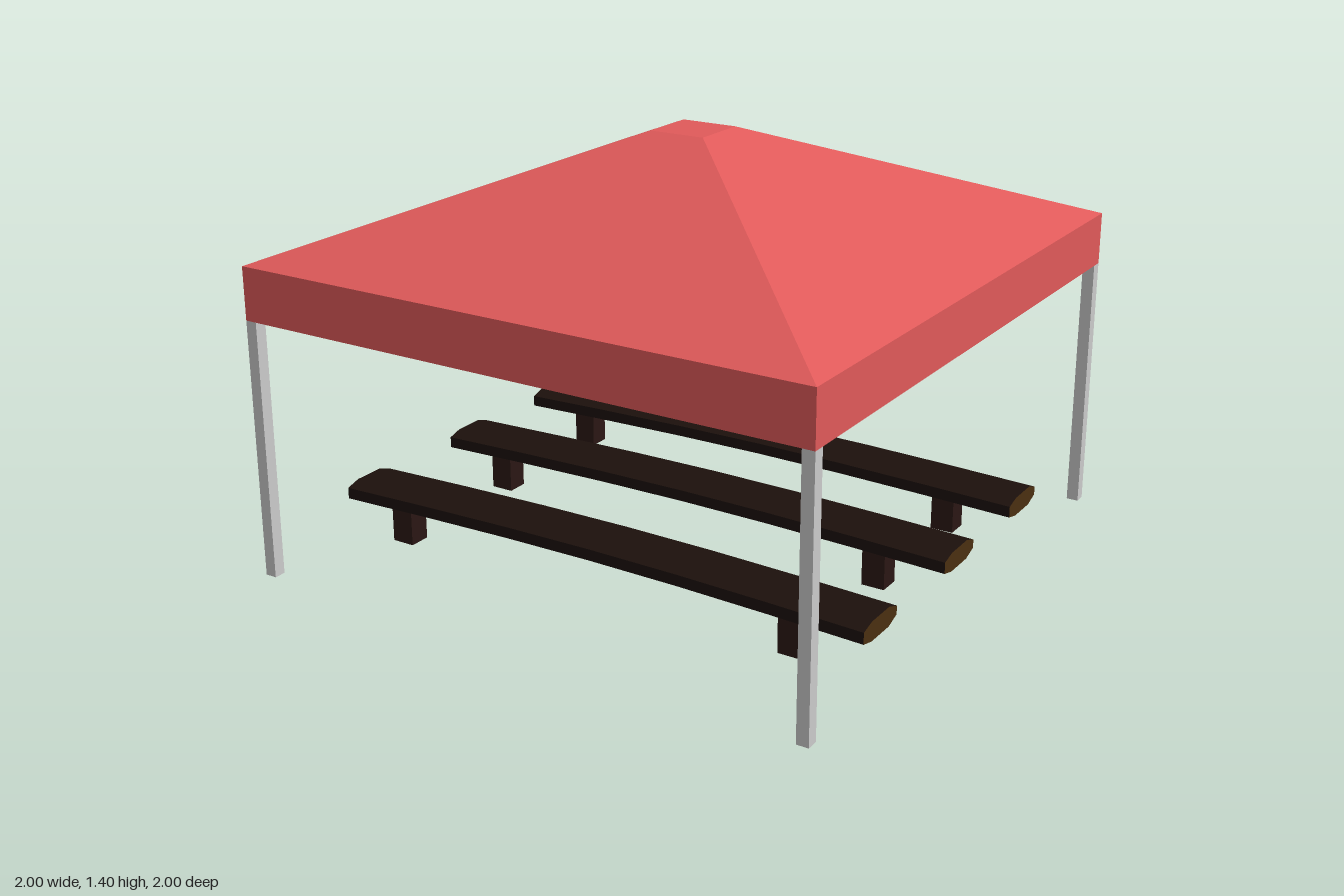
import * as THREE from 'three';

const paint = (color) => new THREE.MeshStandardMaterial({ color, flatShading: true });

export function createModel() {
  const model = new THREE.Group();
  model.name = 'pavilion';
  const red = paint(0xe05a5a), grey = paint(0xcccccc);
  const bark = paint(0x1c100c), cutWood = paint(0x4a2f10), legWood = paint(0x2a1714);

  const add = (parent, name, geometry, material, x, y, z) => {
    const mesh = new THREE.Mesh(geometry, material);
    mesh.name = name;
    mesh.position.set(x, y, z);
    parent.add(mesh);
    return mesh;
  };

  // Canopy: square valance with a truncated pyramid on top
  const canopy = new THREE.Group();
  canopy.name = 'canopy';
  model.add(canopy);
  add(canopy, 'valance', new THREE.BoxGeometry(2, 0.175, 2), red, 0, 0.9525, 0);
  const roof = new THREE.CylinderGeometry(0.097 * Math.SQRT2, Math.SQRT2, 0.36, 4);
  roof.rotateY(Math.PI / 4);
  add(canopy, 'roof', roof, red, 0, 1.22, 0);

  // Corner poles
  const pole = new THREE.BoxGeometry(0.04, 0.865, 0.04);
  for (const x of [-0.98, 0.98])
    for (const z of [-0.98, 0.98]) add(model, 'pole', pole, grey, x, 0.4325, z);

  // Bench seat: faceted log section, extruded lengthwise and bowed slightly
  const section = new THREE.Shape([
    [-0.105, -0.02], [-0.055, -0.032], [0.055, -0.032], [0.105, -0.014],
    [0.105, 0.014], [0.055, 0.032], [-0.055, 0.032], [-0.105, 0.018],
  ].map(([x, y]) => new THREE.Vector2(x, y)));
  const length = 1.94;
  const seat = new THREE.ExtrudeGeometry(section, { depth: length, steps: 6, bevelEnabled: false });
  seat.translate(0, 0, -length / 2);
  seat.rotateY(Math.PI / 2);
  const p = seat.attributes.position;
  for (let i = 0; i < p.count; i++) {
    const bow = Math.cos((p.getX(i) / length) * Math.PI);
    p.setY(i, p.getY(i) + 0.008 * bow);
    p.setZ(i, p.getZ(i) - 0.022 * bow);
  }
  seat.computeVertexNormals();

  // Three benches, each on two stub legs
  const leg = new THREE.BoxGeometry(0.08, 0.14, 0.075);
  for (const [legZ, seatZ] of [[0.54, 0.525], [0, -0.015], [-0.513, -0.512]]) {
    const bench = new THREE.Group();
    bench.name = 'bench';
    model.add(bench);
    add(bench, 'seat', seat, [cutWood, bark], 0, 0.158, seatZ);
    for (const x of [-0.785, 0.7]) add(bench, 'leg', leg, legWood, x, 0.07, legZ);
  }
  return model;
}
